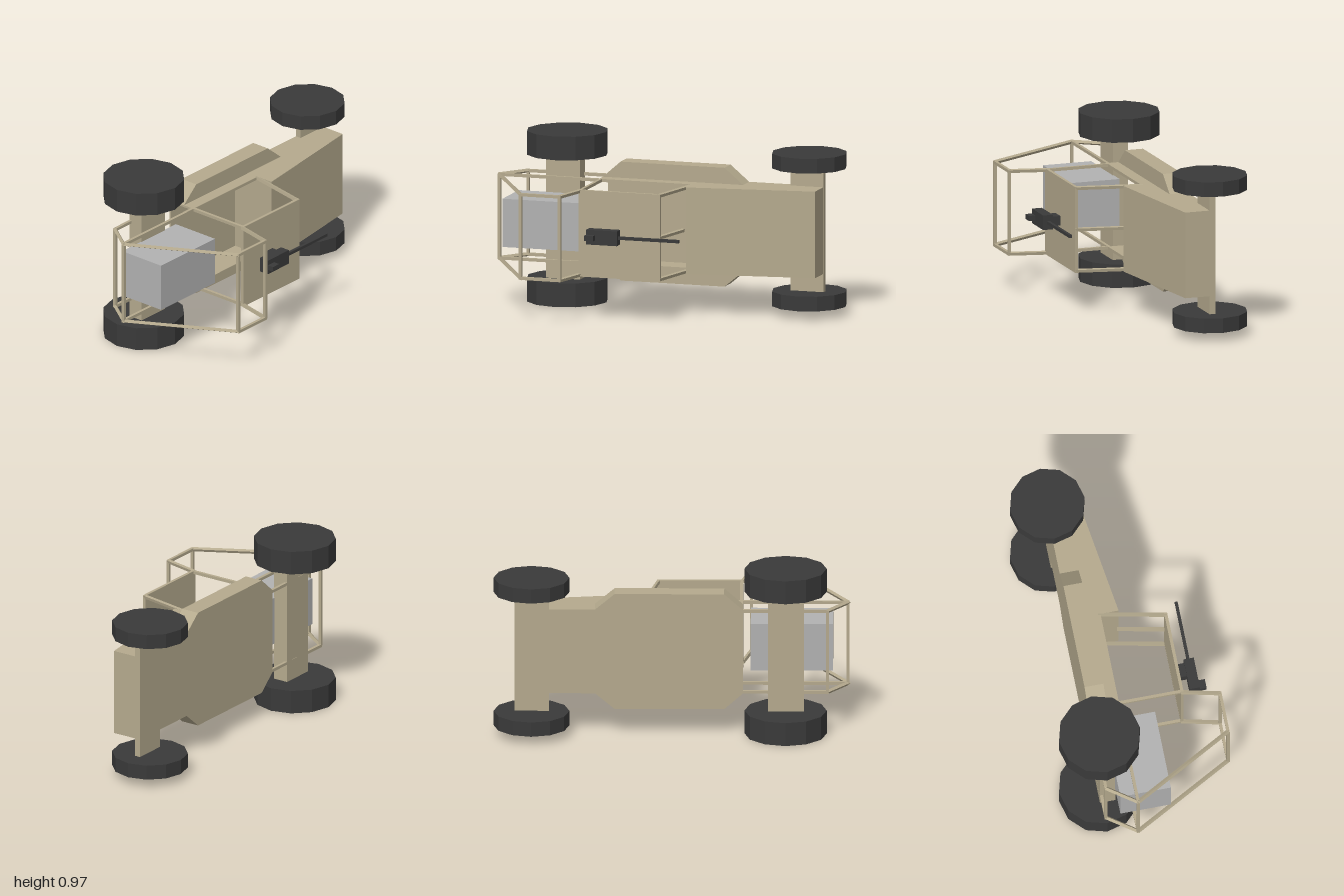
import * as THREE from 'three';

const material = (color) => new THREE.MeshStandardMaterial({ color, flatShading: true });
const MID = 0.487;                 // centre plane of the buggy, which lies on its side
const SIDE_LO = 0.24, SIDE_HI = 0.734;

export function createModel() {
  const model = new THREE.Group();
  const tan = material(0xb5aa8e), dark = material(0x3a3a3a), grey = material(0xb2b2b2);

  const add = (name, geometry, mat, parent = model) => {
    const mesh = new THREE.Mesh(geometry, mat);
    mesh.name = name;
    parent.add(mesh);
    return mesh;
  };

  // Box given by its limits along each axis
  const box = (name, x0, x1, y0, y1, z0, z1, mat, parent) => {
    const mesh = add(name, new THREE.BoxGeometry(x1 - x0, y1 - y0, z1 - z0), mat, parent);
    mesh.position.set((x0 + x1) / 2, (y0 + y1) / 2, (z0 + z1) / 2);
    return mesh;
  };

  // Outline of [a, b] points pushed out to a solid
  const extrude = (points, depth) => new THREE.ExtrudeGeometry(
    new THREE.Shape(points.map(([a, b]) => new THREE.Vector2(a, b))),
    { depth, bevelEnabled: false });

  // Square bar between two points
  const T = 0.017;
  const bar = (name, a, b, parent) => {
    const from = new THREE.Vector3(...a), to = new THREE.Vector3(...b);
    const dir = to.clone().sub(from);
    const mesh = add(name, new THREE.BoxGeometry(T, dir.length() + T * 0.6, T), tan, parent);
    mesh.position.copy(from).add(to).multiplyScalar(0.5);
    mesh.quaternion.setFromUnitVectors(new THREE.Vector3(0, 1, 0), dir.normalize());
    return mesh;
  };

  // Nose with sloping hood
  const nose = extrude([[0.15, 0.27], [0.88, 0.27], [0.88, 0.09], [0.15, -0.012]], SIDE_HI - SIDE_LO);
  nose.rotateX(-Math.PI / 2);
  add('nose', nose, tan).position.y = SIDE_LO;

  // Open cockpit tub
  const tub = new THREE.Group();
  tub.name = 'cockpitTub';
  model.add(tub);
  box('floor', -0.4, 0.15, SIDE_LO, SIDE_HI, -0.27, -0.258, tan, tub);
  box('sideWall', -0.4, 0.15, SIDE_LO, SIDE_LO + 0.012, -0.27, -0.1, tan, tub);
  box('sideWall', -0.4, 0.15, SIDE_HI - 0.012, SIDE_HI, -0.27, -0.1, tan, tub);

  // Tapered side pods
  for (const s of [1, -1]) {
    const edge = MID + s * 0.247, out = MID + s * 0.339;
    const pts = [[-0.4, edge], [0.43, edge], [0.32, out], [-0.295, out]];
    add('sidePod', extrude(pts, 0.108), tan).position.z = -0.27;
  }

  // Axles
  box('rearAxle', -0.743, -0.541, 0.13, 0.842, -0.27, -0.18, tan);
  box('frontAxle', 0.687, 0.882, 0.13, 0.842, -0.27, -0.235, tan);

  // Wheels
  const wheels = [
    { name: 'rearWheel', x: -0.64, z: -0.253, r: 0.231, w: 0.135 },
    { name: 'frontWheel', x: 0.786, z: -0.271, r: 0.213, w: 0.084 },
  ];
  for (const { name, x, z, r, w } of wheels) {
    for (const s of [1, -1]) {
      add(name, new THREE.CylinderGeometry(r, r, w, 12), dark)
        .position.set(x, MID + s * (0.351 + w / 2), z);
    }
  }

  // Engine block
  box('engine', -0.905, -0.443, 0.35, 0.625, -0.185, 0.104, grey);

  // Roll cage: the same side frame twice, joined by cross bars
  const cage = new THREE.Group();
  cage.name = 'rollCage';
  model.add(cage);
  const paths = [
    [[-0.39, -0.1], [-0.39, 0.268], [0.077, 0.268], [0.152, -0.1]],
    [[-0.992, -0.1], [0.15, -0.1]],
    [[-0.4, -0.262], [-0.875, -0.262], [-0.99, -0.1], [-0.673, 0.476], [-0.442, 0.476], [-0.394, 0.268]],
  ];
  for (const y of [SIDE_LO + T / 2, SIDE_HI - T / 2]) {
    for (const path of paths) {
      for (let i = 1; i < path.length; i++) {
        const [x0, z0] = path[i - 1], [x1, z1] = path[i];
        bar('sideBar', [x0, y, z0], [x1, y, z1], cage);
      }
    }
  }
  for (const [x, z] of [[-0.99, -0.1], [-0.673, 0.476], [-0.442, 0.476], [-0.875, -0.262]]) {
    bar('crossBar', [x, SIDE_LO + T / 2, z], [x, SIDE_HI - T / 2, z], cage);
  }
  bar('windshieldPillar', [0.077, MID, 0.268], [0.13, MID, 0.005], cage);

  // Roof panel
  box('roof', -0.398, 0.085, SIDE_LO, SIDE_HI, 0.26, 0.277, tan);

  // Roof gun
  const gun = new THREE.Group();
  gun.name = 'roofGun';
  model.add(gun);
  box('mount', -0.23, -0.15, 0.46, 0.515, 0.275, 0.33, dark, gun);
  box('receiver', -0.315, -0.134, 0.446, 0.53, 0.328, 0.386, dark, gun);
  box('sight', -0.315, -0.262, 0.473, 0.502, 0.384, 0.424, dark, gun);
  box('barrel', -0.14, 0.225, 0.479, 0.496, 0.347, 0.364, dark, gun);

  return model;
}
